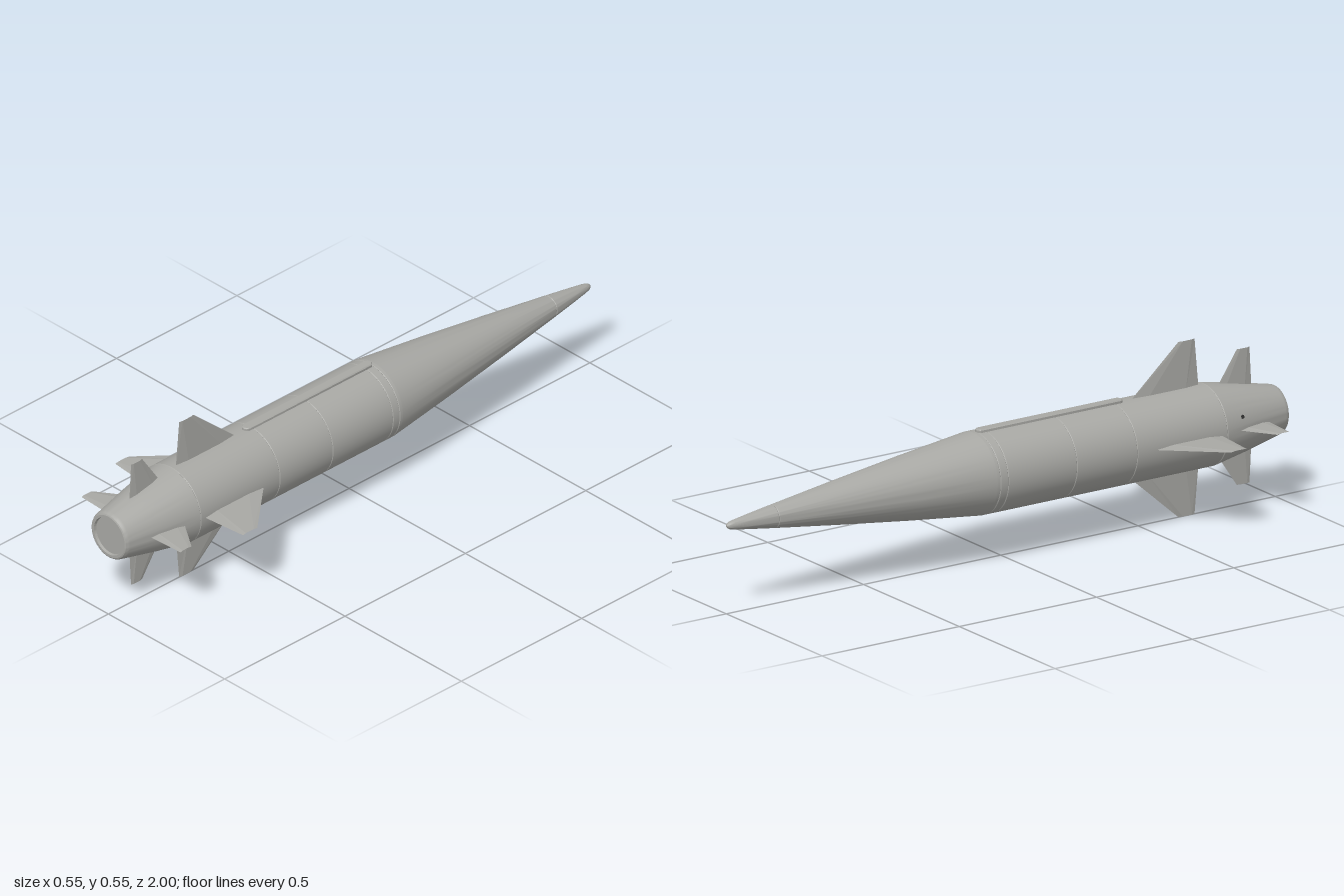
import * as THREE from 'three';
import { toCreasedNormals } from 'three/addons/utils/BufferGeometryUtils.js';

const R = 0.128;      // body radius
const AXIS_Y = 0.275; // height of the long axis
const GROOVE = 0.002; // depth of the panel joints

const paint = new THREE.MeshStandardMaterial({ color: 0xa8a8a4 });
paint.name = 'grey paint';
const dark = new THREE.MeshStandardMaterial({ color: 0x303030 });
dark.name = 'dark port';

// Solid of revolution about z from [z, radius] pairs, listed nose to tail
function revolve(name, profile) {
  const points = profile.map(([z, r]) => new THREE.Vector2(r, z));
  const geometry = new THREE.LatheGeometry(points, 72).rotateX(Math.PI / 2);
  const mesh = new THREE.Mesh(toCreasedNormals(geometry, 0.4), paint);
  mesh.name = name;
  return mesh;
}

// Body tube with chamfered ends, so neighbours meet in a fine groove
function tube(name, z0, z1) {
  return revolve(name, [
    [z0, R - GROOVE], [z0 + GROOVE, R], [z1 - GROOVE, R], [z1, R - GROOVE],
  ]);
}

// Tapered fin along +x: each station has its radius, edges in z and half thickness
function finGeometry(root, tip) {
  const section = ({ r, lead, trail, t }) => {
    const a = lead + (trail - lead) * 0.25;
    const b = lead + (trail - lead) * 0.8;
    return [[lead, 0], [a, t], [b, t], [trail, 0], [b, -t], [a, -t]].map(([z, y]) => [r, y, z]);
  };
  const inner = section(root);
  const outer = section(tip);
  const corners = [];
  for (let i = 0; i < 6; i++) {
    const j = (i + 1) % 6;
    corners.push(inner[i], inner[j], outer[j], inner[i], outer[j], outer[i]);
    if (i > 0 && i < 5) corners.push(outer[0], outer[j], outer[i]);
  }
  const geometry = new THREE.BufferGeometry();
  geometry.setAttribute('position', new THREE.Float32BufferAttribute(corners.flat(), 3));
  geometry.computeVertexNormals();
  return geometry;
}

// Four equal fins around the axis
function finSet(name, geometry) {
  const set = new THREE.Group();
  set.name = name;
  for (let i = 0; i < 4; i++) {
    const fin = new THREE.Mesh(geometry, paint);
    fin.name = name + (i + 1);
    fin.rotation.z = i * Math.PI / 2;
    set.add(fin);
  }
  return set;
}

// Long round-ended cable cover on top of the body
function cableCover() {
  const z0 = -0.09, z1 = 0.44, w = 0.012;
  const shape = new THREE.Shape();
  shape.absarc(0, -z0 - w - 0.003, w, 0, Math.PI, false);
  shape.absarc(0, -z1 + w + 0.003, w, Math.PI, Math.PI * 2, false);
  shape.closePath();
  const geometry = new THREE.ExtrudeGeometry(shape, {
    depth: 0.016, bevelThickness: 0.003, bevelSize: 0.003, bevelSegments: 1, curveSegments: 10,
  });
  geometry.rotateX(-Math.PI / 2);
  const mesh = new THREE.Mesh(toCreasedNormals(geometry, 0.5), paint);
  mesh.name = 'cableCover';
  mesh.position.y = 0.118;
  return mesh;
}

export function createModel() {
  const model = new THREE.Group();
  model.name = 'missile';
  const body = new THREE.Group();
  body.name = 'airframe';
  body.position.y = AXIS_Y;
  model.add(body);

  // Nose
  body.add(revolve('noseTip', [
    [-1, 0], [-0.999, 0.004], [-0.995, 0.008], [-0.988, 0.0115], [-0.975, 0.0145],
    [-0.93, 0.0215], [-0.832, 0.0355], [-0.83, 0.034],
  ]));
  body.add(revolve('noseCone', [
    [-0.83, 0.034], [-0.828, 0.036], [-0.6, 0.067], [-0.35, 0.099], [-0.1, R],
  ]));

  // Body sections
  body.add(revolve('noseCollar', [[-0.1, R], [-0.09, R], [-0.088, R - GROOVE]]));
  const joints = [-0.088, -0.06, 0.19, 0.41, 0.738];
  const names = ['jointRing', 'forwardSection', 'middleSection', 'motorSection'];
  names.forEach((name, i) => body.add(tube(name, joints[i], joints[i + 1])));

  // Tapered tail with rounded rim and recessed end plate
  body.add(revolve('tailCone', [
    [0.738, R - GROOVE], [0.74, R], [0.86, 0.106], [0.985, 0.079], [0.993, 0.077],
    [0.998, 0.074], [1, 0.07], [1, 0.062], [0.992, 0.06], [0.992, 0],
  ]));

  // Fins
  body.add(finSet('mainFin', finGeometry(
    { r: 0.1, lead: 0.447, trail: 0.722, t: 0.006 },
    { r: 0.275, lead: 0.647, trail: 0.706, t: 0.0025 })));
  body.add(finSet('tailFin', finGeometry(
    { r: 0.085, lead: 0.773, trail: 0.913, t: 0.005 },
    { r: 0.213, lead: 0.86, trail: 0.906, t: 0.0025 })));

  body.add(cableCover());

  // Small port on the right of the tail cone
  const port = new THREE.Mesh(new THREE.CylinderGeometry(0.006, 0.006, 0.004, 16), dark);
  port.name = 'servicePort';
  const angle = Math.PI - 0.35;
  port.position.set(Math.cos(angle) * 0.1158, Math.sin(angle) * 0.1158, 0.805);
  port.quaternion.setFromUnitVectors(
    new THREE.Vector3(0, 1, 0),
    new THREE.Vector3(Math.cos(angle), Math.sin(angle), 0.19).normalize());
  body.add(port);

  return model;
}
